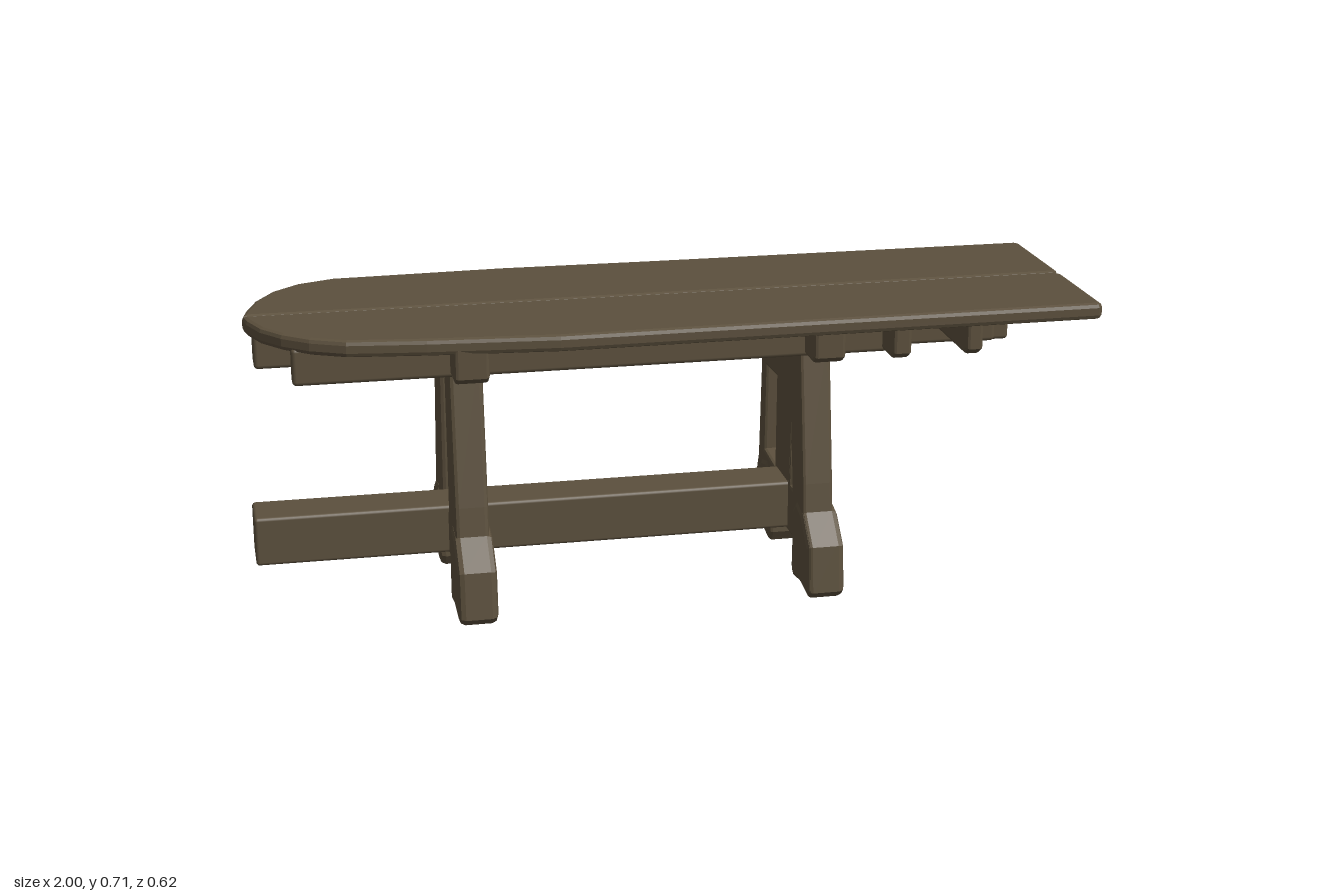
import * as THREE from 'three';
import { RoundedBoxGeometry } from 'three/addons/geometries/RoundedBoxGeometry.js';

const wood = new THREE.MeshStandardMaterial({ color: 0x5c503d });
wood.name = 'dark wood';

function add(group, name, geometry) {
  const mesh = new THREE.Mesh(geometry, wood);
  mesh.name = name;
  group.add(mesh);
  return mesh;
}

// Softened beam given by its limits on each axis
function beam(group, name, [x0, x1], [y0, y1], [z0, z1], r = 0.01) {
  const g = new RoundedBoxGeometry(x1 - x0, y1 - y0, z1 - z0, 2, r);
  g.translate((x0 + x1) / 2, (y0 + y1) / 2, (z0 + z1) / 2);
  return add(group, name, g);
}

// Bevelled extrusion; the bevel stays inside the outline and thickness
function slab(points, thickness, bevel, holes = []) {
  const shape = new THREE.Shape(points.map(p => new THREE.Vector2(...p)));
  for (const h of holes) shape.holes.push(new THREE.Path(h.map(p => new THREE.Vector2(...p))));
  const g = new THREE.ExtrudeGeometry(shape, {
    depth: thickness - 2 * bevel, bevelThickness: bevel, bevelSize: bevel,
    bevelOffset: -bevel, bevelSegments: 2,
  });
  return g.translate(0, 0, bevel);
}

// Outline given as [z, y], extruded along x from x0 to x1
function crossSection(group, name, zy, x0, x1, bevel = 0.01, holes = []) {
  const flip = pts => pts.map(([z, y]) => [-z, y]);
  const g = slab(flip(zy), x1 - x0, bevel, holes.map(flip));
  g.rotateY(Math.PI / 2).translate(x0, 0, 0);
  return add(group, name, g);
}

// One half of the top, round at the left end and square at the right
function plank(group, name, outline) {
  const g = slab(outline, 0.04, 0.011);
  g.rotateX(Math.PI / 2).translate(0, 0.71, 0);
  add(group, name, g);
}

const FOOT = [
  [0.113, 0.1], [0.11, 0.03], [0.125, 0.004], [0.19, 0.014], [0.27, 0.004], [0.288, 0.022],
  [0.276, 0.135], [0.208, 0.2],
];
const mirror = pts => pts.map(([z, y]) => [-z, y]).reverse();

export function createModel() {
  const table = new THREE.Group();
  table.name = 'trestleTable';

  // Table top
  const top = new THREE.Group();
  top.name = 'tableTop';
  table.add(top);
  plank(top, 'frontPlank', [
    [0.985, 0], [-1, 0], [-0.992, 0.04], [-0.965, 0.11], [-0.92, 0.17], [-0.86, 0.22],
    [-0.78, 0.258], [-0.6, 0.282], [-0.3, 0.308], [0.1, 0.305], [0.99, 0.3], [1, 0.29], [1, 0.015],
  ]);
  plank(top, 'backPlank', [
    [0.985, 0], [-1, 0], [-0.99, -0.05], [-0.965, -0.13], [-0.92, -0.21], [-0.86, -0.265],
    [-0.77, -0.3], [-0.35, -0.316], [0, -0.31], [0.99, -0.306], [1, -0.295], [1, -0.015],
  ]);
  beam(top, 'plankJoint', [-0.985, 0.98], [0.675, 0.704], [-0.03, 0.03], 0.005);

  // Long rails under the top
  const frame = new THREE.Group();
  frame.name = 'underframe';
  table.add(frame);
  beam(frame, 'frontRail', [-0.9, 0.51], [0.59, 0.68], [0.15, 0.195]);
  beam(frame, 'backRail', [-0.9, 0.51], [0.59, 0.68], [-0.195, -0.15]);
  beam(frame, 'centreRail', [-0.98, 0.51], [0.59, 0.68], [-0.035, 0.045]);
  beam(frame, 'endRail', [0.5, 0.86], [0.555, 0.68], [-0.023, 0.04]);

  // Cross bars, over both trestles and under the square end
  for (const [x0, x1] of [[-0.54, -0.46], [0.3, 0.375], [0.49, 0.535], [0.67, 0.71]]) {
    crossSection(frame, 'crossBar', [
      [0.288, 0.68], [0.288, 0.612], [0.265, 0.596], [-0.26, 0.6], [-0.28, 0.61], [-0.285, 0.68],
    ], x0, x1, 0.008);
  }
  for (const z of [-0.12, 0.165]) {
    beam(frame, 'endBlock', [0.68, 0.775], [0.597, 0.68], [z - 0.018, z + 0.018]);
  }

  // Left trestle: two splayed legs on a notched foot
  const leftTrestle = new THREE.Group();
  leftTrestle.name = 'leftTrestle';
  table.add(leftTrestle);
  const half = [...FOOT, [0.2, 0.27], [0.15, 0.61], [0.055, 0.61], [0.068, 0.22]];
  crossSection(leftTrestle, 'legs', [...half, ...mirror(half)], -0.54, -0.46);

  // Right trestle: broad panel in front, slim post behind
  const rightTrestle = new THREE.Group();
  rightTrestle.name = 'rightTrestle';
  table.add(rightTrestle);
  crossSection(rightTrestle, 'panelAndPost', [
    ...FOOT, [0.2, 0.27], [0.15, 0.61],
    [-0.067, 0.61], [-0.07, 0.52], [-0.172, 0.522], [-0.18, 0.54], [-0.18, 0.61],
    [-0.222, 0.61], [-0.228, 0.45], [-0.248, 0.2], ...mirror(FOOT).slice(1),
  ], 0.3, 0.375, 0.008, [
    [[-0.07, 0.46], [-0.075, 0.22], [-0.19, 0.23], [-0.18, 0.455]],
    [[0.082, 0.38], [0.1, 0.225], [0.074, 0.225]],
  ]);

  // Thicker foot pads
  for (const [g, x0, x1] of [[leftTrestle, -0.545, -0.452], [rightTrestle, 0.296, 0.387]]) {
    for (const side of [1, -1]) {
      const pad = [...FOOT, [0.15, 0.215], [0.115, 0.18]];
      crossSection(g, 'foot', side > 0 ? pad : mirror(pad), x0, x1, 0.015);
    }
  }

  // Low stretcher through the left trestle
  beam(table, 'stretcher', [-1, 0.32], [0.108, 0.228], [-0.062, 0.062], 0.008);
  return table;
}
